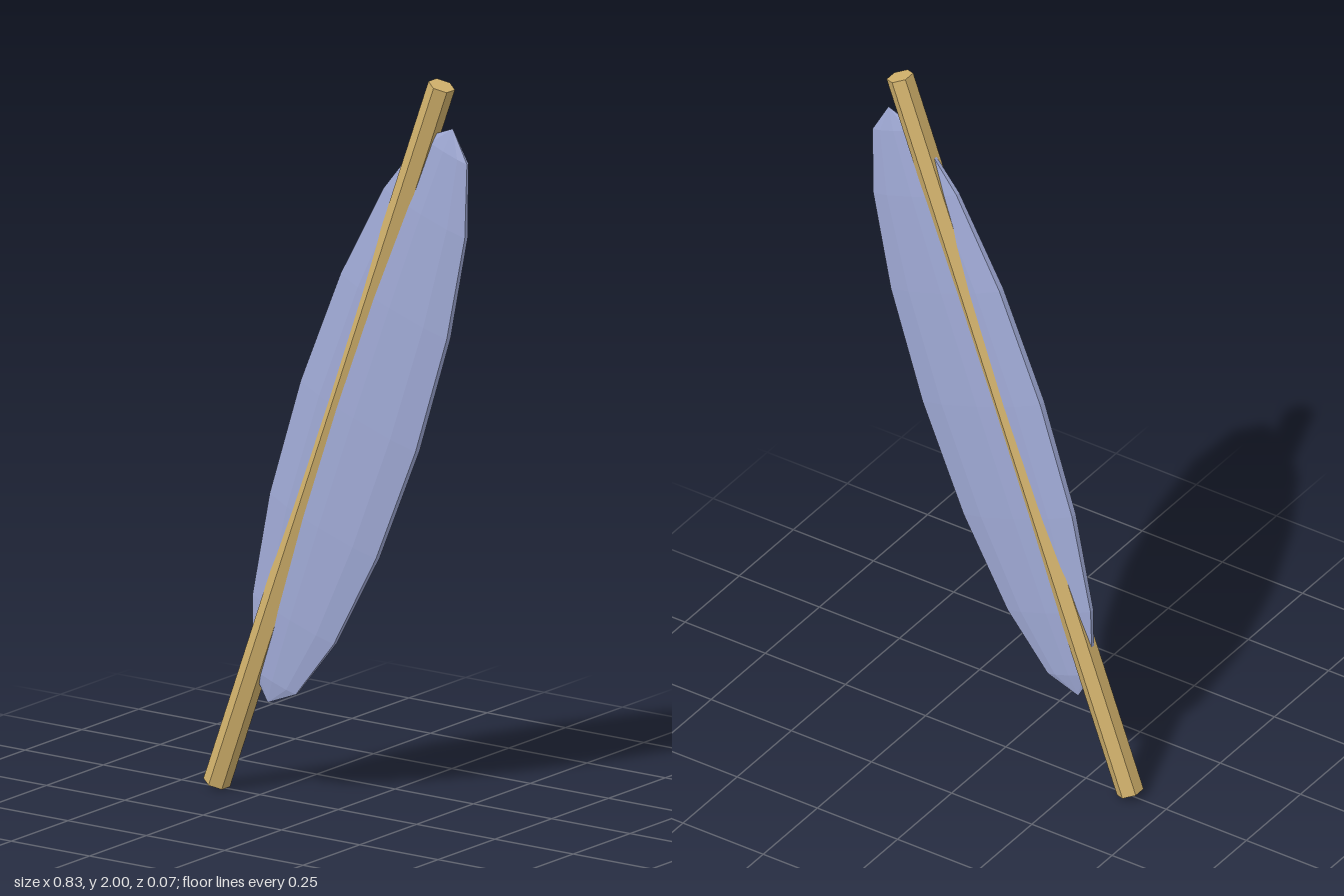
import * as THREE from 'three';

export function createModel() {
  const group = new THREE.Group();
  group.name = 'feather';

  const gold = new THREE.MeshStandardMaterial({ color: 0xd2b26c, flatShading: true });
  gold.name = 'gold';
  const blue = new THREE.MeshStandardMaterial({ color: 0xa0aad6, flatShading: true });
  blue.name = 'paleBlue';

  const lean = -0.348; // both parts tilt towards +x

  // Six-sided shaft, with an edge facing front and back
  const quill = new THREE.Mesh(new THREE.CylinderGeometry(0.036, 0.036, 2.106, 6), gold);
  quill.name = 'quill';
  quill.position.set(-0.029, 1, 0);
  quill.rotation.z = lean;
  group.add(quill);

  // Vane: ten-sided, eight-ring ball stretched along the shaft and flattened
  const profile = [];
  for (let i = 0; i <= 8; i++) {
    const a = (i / 8) * Math.PI;
    profile.push(new THREE.Vector2(i % 8 ? Math.sin(a) : 0, -Math.cos(a)));
  }
  const vaneGeometry = new THREE.LatheGeometry(profile, 10);
  vaneGeometry.scale(0.205, 0.867, 0.031);
  const vane = new THREE.Mesh(vaneGeometry, blue);
  vane.name = 'vane';
  vane.position.set(0.07, 1.065, 0);
  vane.rotation.z = lean;
  group.add(vane);

  return group;
}
